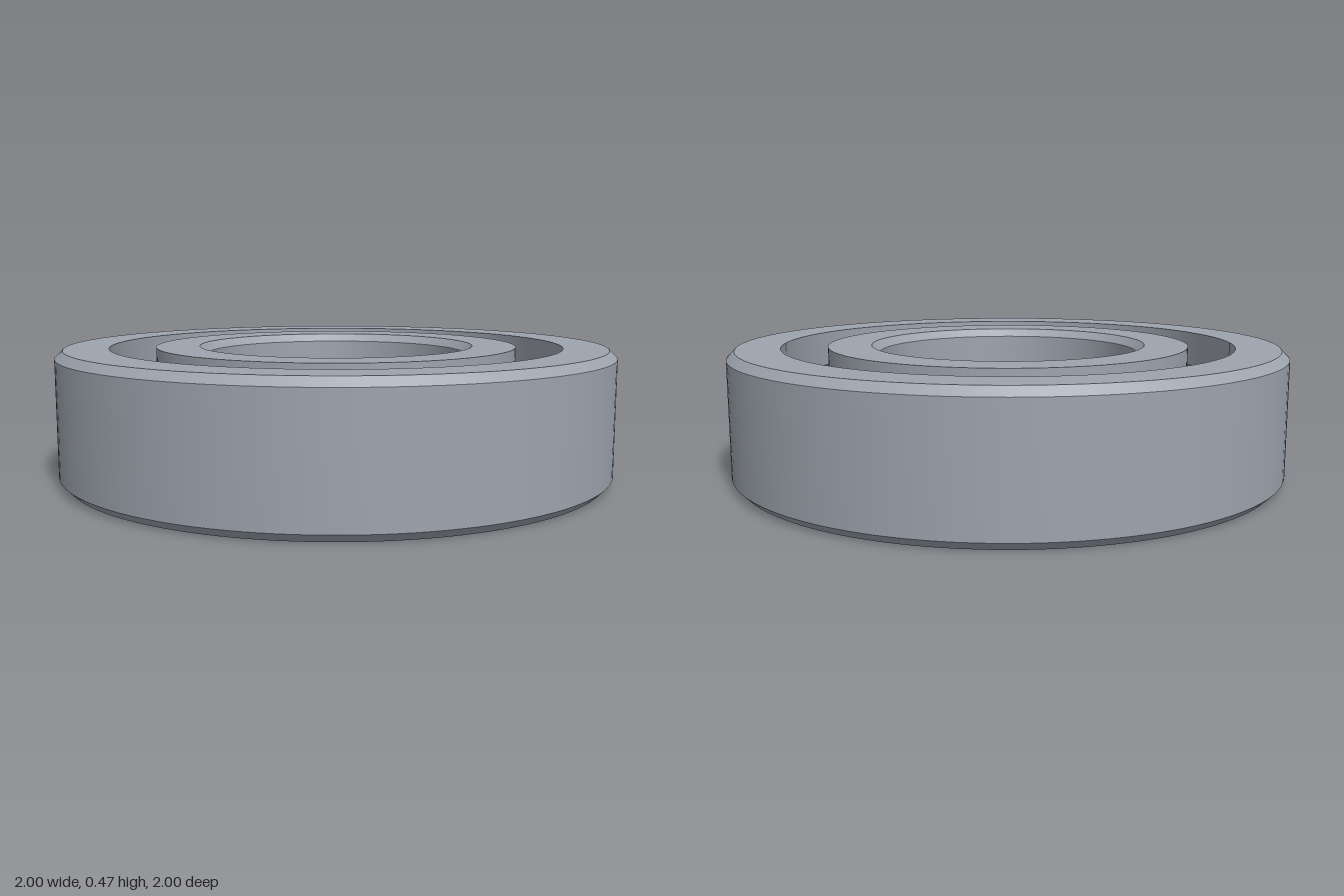
import * as THREE from 'three';
import { toCreasedNormals } from 'three/addons/utils/BufferGeometryUtils.js';

const HEIGHT = 0.466;
const MID = HEIGHT / 2;
const PITCH = 0.733; // radius of the ball circle
const BALL = 0.131;
const CHAMFER = 0.028;
const BALL_COUNT = 12;

// Raceway groove profile, swept about the ball centre between two angles
function groove(from, to, steps = 14) {
  return Array.from({ length: steps + 1 }, (_, i) => {
    const t = from + ((to - from) * i) / steps;
    return [PITCH + BALL * Math.cos(t), MID + BALL * Math.sin(t)];
  });
}

// Closed ring turned from a counter-clockwise [radius, y] profile
function turnedRing(name, profile, material) {
  const points = [...profile, profile[0]].map(([r, y]) => new THREE.Vector2(r, y));
  const geometry = toCreasedNormals(new THREE.LatheGeometry(points, 128), 0.5);
  const mesh = new THREE.Mesh(geometry, material);
  mesh.name = name;
  return mesh;
}

export function createModel() {
  const model = new THREE.Group();
  model.name = 'ballBearing';
  const steel = new THREE.MeshStandardMaterial({ color: 0x9da4ae });
  steel.name = 'steel';

  // Outer ring: chamfered outside, groove on its inner wall
  const outerWall = 0.815;
  const outerAngle = Math.acos((outerWall - PITCH) / BALL);
  model.add(turnedRing('outerRing', [
    [outerWall, 0],
    [1 - CHAMFER, 0],
    [1, CHAMFER],
    [1, HEIGHT - CHAMFER],
    [1 - CHAMFER, HEIGHT],
    [outerWall, HEIGHT],
    ...groove(outerAngle, -outerAngle),
  ], steel));

  // Inner ring: chamfered bore, groove on its outer wall
  const innerWall = 0.651;
  const bore = 0.468;
  const innerAngle = Math.acos((PITCH - innerWall) / BALL);
  model.add(turnedRing('innerRing', [
    [bore + CHAMFER, 0],
    [innerWall, 0],
    ...groove(Math.PI + innerAngle, Math.PI - innerAngle),
    [innerWall, HEIGHT],
    [bore + CHAMFER, HEIGHT],
    [bore, HEIGHT - CHAMFER],
    [bore, CHAMFER],
  ], steel));

  // Balls, evenly spaced with the first one 12 degrees off the back
  const balls = new THREE.Group();
  balls.name = 'balls';
  const ballGeometry = new THREE.SphereGeometry(BALL, 40, 24);
  for (let i = 0; i < BALL_COUNT; i++) {
    const angle = THREE.MathUtils.degToRad(12) + (i * 2 * Math.PI) / BALL_COUNT;
    const ball = new THREE.Mesh(ballGeometry, steel);
    ball.name = `ball${i + 1}`;
    ball.position.set(PITCH * Math.sin(angle), MID, -PITCH * Math.cos(angle));
    balls.add(ball);
  }
  model.add(balls);

  return model;
}
